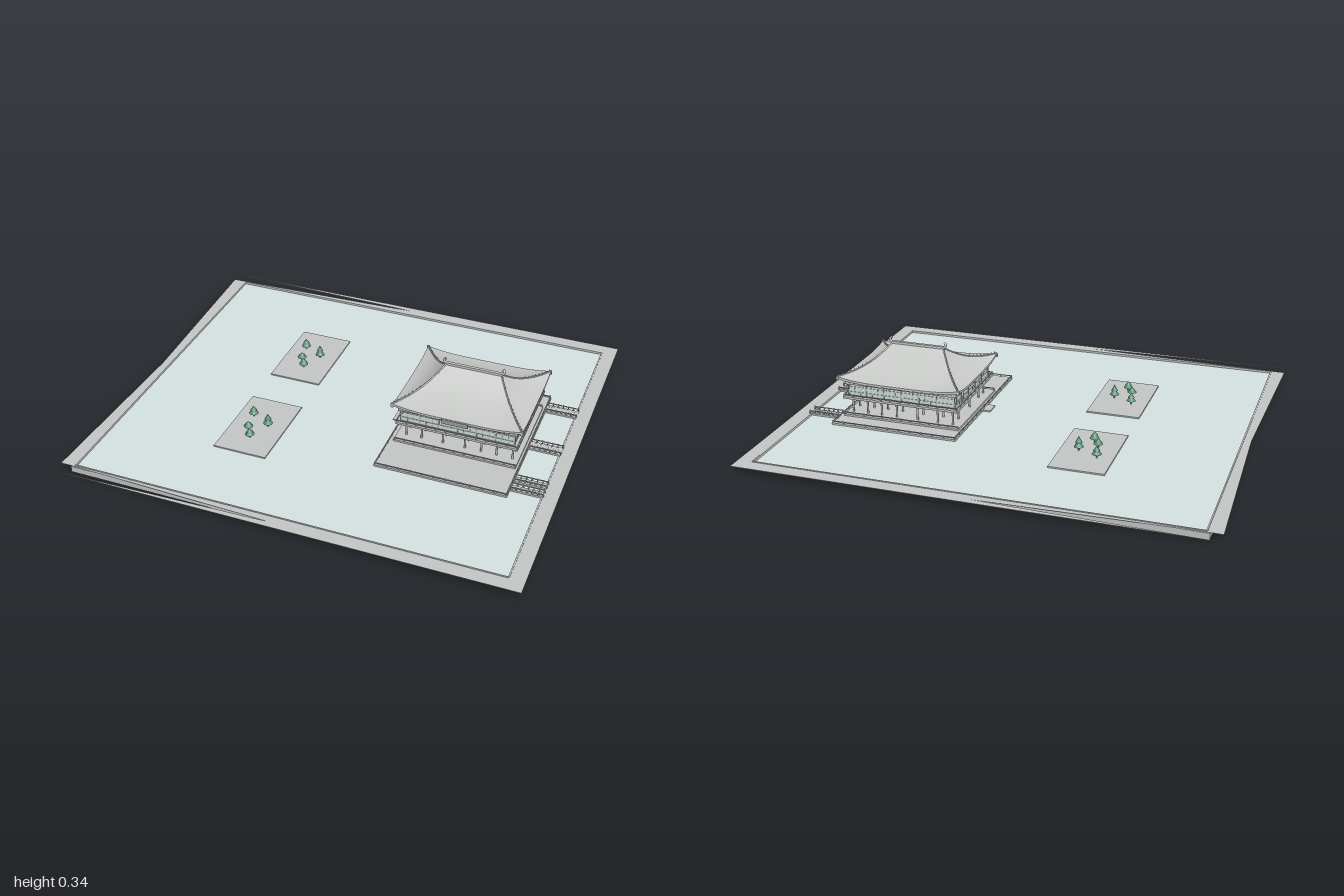
import * as THREE from 'three';

const mat = (name, color, double) => {
  const m = new THREE.MeshStandardMaterial({ color });
  m.name = name;
  if (double) m.side = THREE.DoubleSide;
  return m;
};

export function createModel() {
  const stone = mat('stone', 0xc3c6c4, true);
  const tile = mat('roofTile', 0xc7c9c7, true);
  const timber = mat('greyTimber', 0xb4b7b5, true);
  const water = mat('water', 0xd5e2e2);
  const glass = mat('paleWindow', 0xcfe0dd);
  const green = mat('pineGreen', 0x588f74);

  const model = new THREE.Group();
  const group = (name) => {
    const g = new THREE.Group();
    g.name = name;
    model.add(g);
    return g;
  };
  const add = (parent, name, geo, m) => {
    const mesh = new THREE.Mesh(geo, m);
    mesh.name = name;
    parent.add(mesh);
    return mesh;
  };
  // Box given by its limits on each axis
  const box = (parent, name, m, x0, x1, y0, y1, z0, z1) => {
    const mesh = add(parent, name, new THREE.BoxGeometry(x1 - x0, y1 - y0, z1 - z0), m);
    mesh.position.set((x0 + x1) / 2, (y0 + y1) / 2, (z0 + z1) / 2);
    return mesh;
  };
  const post = (parent, name, m, x, z, y0, y1, r) => {
    const mesh = add(parent, name, new THREE.CylinderGeometry(r, r, y1 - y0, 12), m);
    mesh.position.set(x, (y0 + y1) / 2, z);
  };
  // Low railing: posts and a top rail from (xa, za) to (xb, zb), along one axis
  const railing = (parent, xa, za, xb, zb, y, h, n) => {
    const w = 0.0022;
    for (let i = 0; i <= n; i++) {
      const x = xa + (xb - xa) * i / n, z = za + (zb - za) * i / n;
      box(parent, 'railPost', timber, x - w, x + w, y, y + h * 1.15, z - w, z + w);
    }
    box(parent, 'rail', timber, xa - w, xb + w, y + h - 0.003, y + h, za - w, zb + w);
  };
  const railRect = (parent, x0, x1, z0, z1, y, h, nx, nz) => {
    for (const z of [z0, z1]) railing(parent, x0, z, x1, z, y, h, nx);
    for (const x of [x0, x1]) railing(parent, x, z0, x, z1, y, h, nz);
  };

  // Pond basin, water and curb
  const pond = group('pond');
  box(pond, 'basin', stone, -0.95, 0.945, 0, 0.018, -0.838, 0.838);
  box(pond, 'waterSurface', water, -0.936, 0.934, 0.018, 0.022, -0.826, 0.826);
  for (const s of [-1, 1]) {
    box(pond, 'curb', stone, -0.95, 0.945, 0.018, 0.028, s * 0.832 - 0.006, s * 0.832 + 0.006);
    box(pond, 'rim', stone, -0.936, 0.934, 0.02, 0.032, s * 0.826 - 0.003, s * 0.826 + 0.003);
  }
  for (const [x0, x1, rim] of [[-0.95, -0.936, -0.936], [0.934, 0.945, 0.934]]) {
    box(pond, 'curb', stone, x0, x1, 0.018, 0.028, -0.826, 0.826);
    box(pond, 'rim', stone, rim - 0.003, rim + 0.003, 0.02, 0.032, -0.823, 0.823);
  }

  // Thin bank around the pond, with narrow wedge-shaped notches
  const bank = new THREE.Shape([
    [-1, -0.89], [1, -0.89], [1, 0.89], [-1, 0.89], [-0.03, 0.862], [-0.94, 0.834],
    [-1, 0.834], [-0.97, 0], [-1, -0.834], [-0.94, -0.834], [-0.03, -0.862],
  ].map(([x, z]) => new THREE.Vector2(x, z)));
  bank.holes.push(new THREE.Path([[-0.936, -0.828], [-0.936, 0.828], [0.934, 0.828], [0.934, -0.828]]
    .map(([x, z]) => new THREE.Vector2(x, z))));
  const bankGeo = new THREE.ExtrudeGeometry(bank, { depth: 0.0015, bevelEnabled: false });
  add(model, 'bank', bankGeo.rotateX(-Math.PI / 2), stone).position.y = 0.028;

  // Two islands with pines
  const pines = [[-0.39, -0.06, 0.083], [-0.3, -0.013, 0.094], [-0.37, 0.038, 0.07], [-0.34, 0.089, 0.076]];
  for (const cz of [-0.295, 0.294]) {
    const island = group('island');
    box(island, 'islandSlab', stone, -0.46, -0.22, 0.02, 0.028, cz - 0.197, cz + 0.197);
    for (const [x, dz, top] of pines) {
      const z = cz + dz, h = top - 0.046;
      post(island, 'trunk', timber, x, z, 0.028, 0.056, 0.003);
      for (const [r, y, k] of [[0.021, 0, 0.6], [0.015, 0.4, 0.6]]) {
        const cone = add(island, 'pineFoliage', new THREE.ConeGeometry(r, h * k, 16), green);
        cone.position.set(x, 0.046 + h * (y + k / 2), z);
      }
    }
  }

  // Terrace, plinth and landing step
  const terrace = group('terrace');
  box(terrace, 'terraceSlab', stone, 0.225, 0.8, 0.02, 0.03, -0.375, 0.37);
  box(terrace, 'plinth', stone, 0.245, 0.785, 0.03, 0.038, -0.285, 0.185);
  box(terrace, 'landing', stone, 0.19, 0.225, 0.02, 0.028, -0.035, 0.033);
  railRect(terrace, 0.228, 0.797, -0.372, 0.367, 0.03, 0.01, 11, 14);
  railing(terrace, 0.25, 0.18, 0.78, 0.18, 0.038, 0.009, 12);
  railing(terrace, 0.25, -0.28, 0.78, -0.28, 0.038, 0.009, 12);

  // Slatted footbridges to the bank
  for (const [z0, z1] of [[-0.314, -0.262], [-0.026, 0.027], [0.235, 0.267], [0.292, 0.325]]) {
    const bridge = group('footbridge');
    box(bridge, 'bridgeDeck', stone, 0.8, 0.94, 0.024, 0.031, z0, z1);
    for (let i = 0; i < 12; i++) {
      const x = 0.806 + i * 0.0113;
      box(bridge, 'slat', stone, x, x + 0.004, 0.031, 0.0325, z0, z1);
    }
    for (const z of [z0 + 0.002, z1 - 0.002]) railing(bridge, 0.802, z, 0.938, z, 0.031, 0.014, 6);
  }

  // Open ground floor
  const hall = group('hall');
  for (const x of [0.285, 0.355, 0.45, 0.548, 0.62, 0.687, 0.757]) {
    for (const z of [0.13, 0.075, -0.04, -0.18, -0.245]) post(hall, 'column', stone, x, z, 0.038, 0.115, 0.0045);
  }

  // Upper floor with windows, posts and balcony
  const X0 = 0.268, X1 = 0.765, Z0 = -0.265, Z1 = 0.15;
  box(hall, 'upperDeck', stone, 0.248, 0.785, 0.112, 0.122, -0.287, 0.172);
  box(hall, 'windows', glass, X0, X1, 0.122, 0.178, Z0, Z1);
  box(hall, 'topBeam', stone, X0 - 0.012, X1 + 0.012, 0.178, 0.195, Z0 - 0.012, Z1 + 0.012);
  railRect(hall, 0.252, 0.781, -0.283, 0.168, 0.122, 0.01, 12, 10);
  const windowPosts = (n, alongX) => {
    for (let i = 0; i <= n; i++) {
      const w = i % 3 ? 0.001 : 0.003;
      for (const e of [0, 1]) {
        const x = alongX ? X0 + (X1 - X0) * i / n : (e ? X1 : X0);
        const z = alongX ? (e ? Z1 : Z0) : Z0 + (Z1 - Z0) * i / n;
        box(hall, 'windowPost', timber, x - w, x + w, 0.122, 0.178, z - w, z + w);
      }
    }
  };
  windowPosts(18, true);
  windowPosts(15, false);
  for (const y of [0.14, 0.164]) {
    for (const z of [Z0, Z1]) box(hall, 'windowRail', timber, X0, X1, y, y + 0.002, z - 0.002, z + 0.002);
    for (const x of [X0, X1]) box(hall, 'windowRail', timber, x - 0.002, x + 0.002, y, y + 0.002, Z0, Z1);
  }

  // Hipped roof: each side sweeps up concavely and lifts at its corners
  const roof = group('roof');
  const CX = 0.517, CZ = -0.06;
  const roofPoint = (a, u, t, drop = 0) => {
    const s = Math.round(Math.sin(a)), c = Math.round(Math.cos(a));
    const hx = 0.283 + (0.125 - 0.283) * t, hz = 0.243 + (0.006 - 0.243) * t;
    const y = 0.203 + 0.107 * (0.35 * t + 0.65 * t ** 2.4) + 0.018 * Math.abs(u) ** 4 * (1 - t) ** 2;
    return new THREE.Vector3(CX + (s + u * c) * hx, y - drop, CZ + (c - u * s) * hz);
  };
  // Rows of [t, drop] swept along one side
  const roofSide = (a, rows) => {
    const pos = [], idx = [], N = 24;
    rows.forEach(([t, drop], j) => {
      for (let i = 0; i <= N; i++) {
        pos.push(...roofPoint(a, i / N * 2 - 1, t, drop).toArray());
        if (j && i) {
          const q = j * (N + 1) + i, p = q - N - 1;
          idx.push(p - 1, p, q, p - 1, q, q - 1);
        }
      }
    });
    const g = new THREE.BufferGeometry();
    g.setAttribute('position', new THREE.Float32BufferAttribute(pos, 3));
    g.setIndex(idx);
    g.computeVertexNormals();
    return g;
  };
  const slope = Array.from({ length: 15 }, (_, j) => [j / 14, 0]);
  for (let k = 0; k < 4; k++) {
    const a = k * Math.PI / 2;
    add(roof, 'roofSlope', roofSide(a, slope), tile);
    add(roof, 'eaveEdge', roofSide(a, [[0, 0.01], [0, 0]]), tile);
    add(roof, 'eaveUnderside', roofSide(a, [[0.25, 0.025], [0, 0.01]]), stone);
    // Rafter ends
    for (let i = 0; i <= 26; i++) {
      const p = roofPoint(a, (i / 26 * 2 - 1) * 0.97, 0.03, 0.013);
      add(roof, 'rafterEnd', new THREE.BoxGeometry(0.005, 0.007, 0.005), timber).position.copy(p);
    }
    // Hip ridge with small ornaments and a tip
    const hip = new THREE.CatmullRomCurve3(slope.map(([t]) => roofPoint(a, 1, t)));
    add(roof, 'hipRidge', new THREE.TubeGeometry(hip, 24, 0.0035, 8), tile);
    for (let i = 0; i < 8; i++) {
      const bead = add(roof, 'hipOrnament', new THREE.ConeGeometry(0.003, 0.009, 8), tile);
      bead.position.copy(roofPoint(a, 1, 0.04 + i * 0.07, -0.008));
    }
    add(roof, 'hipTip', new THREE.BoxGeometry(0.011, 0.018, 0.011), tile).position.copy(roofPoint(a, 1, 0.01, 0.008));
  }
  // Main ridge and upturned end finials
  box(roof, 'mainRidge', tile, CX - 0.127, CX + 0.127, 0.303, 0.32, CZ - 0.007, CZ + 0.007);
  for (const s of [-1, 1]) {
    const horn = new THREE.CatmullRomCurve3([[0.11, 0.312], [0.128, 0.318], [0.134, 0.33], [0.126, 0.338]]
      .map(([x, y]) => new THREE.Vector3(CX + s * x, y, CZ)));
    add(roof, 'ridgeFinial', new THREE.TubeGeometry(horn, 12, 0.006, 8), tile);
  }

  // Plain board below the front eave
  const board = box(roof, 'eaveBoard', timber, 0.455, 0.57, 0.176, 0.202, 0.181, 0.186);
  board.rotation.x = 0.25;

  return model;
}
